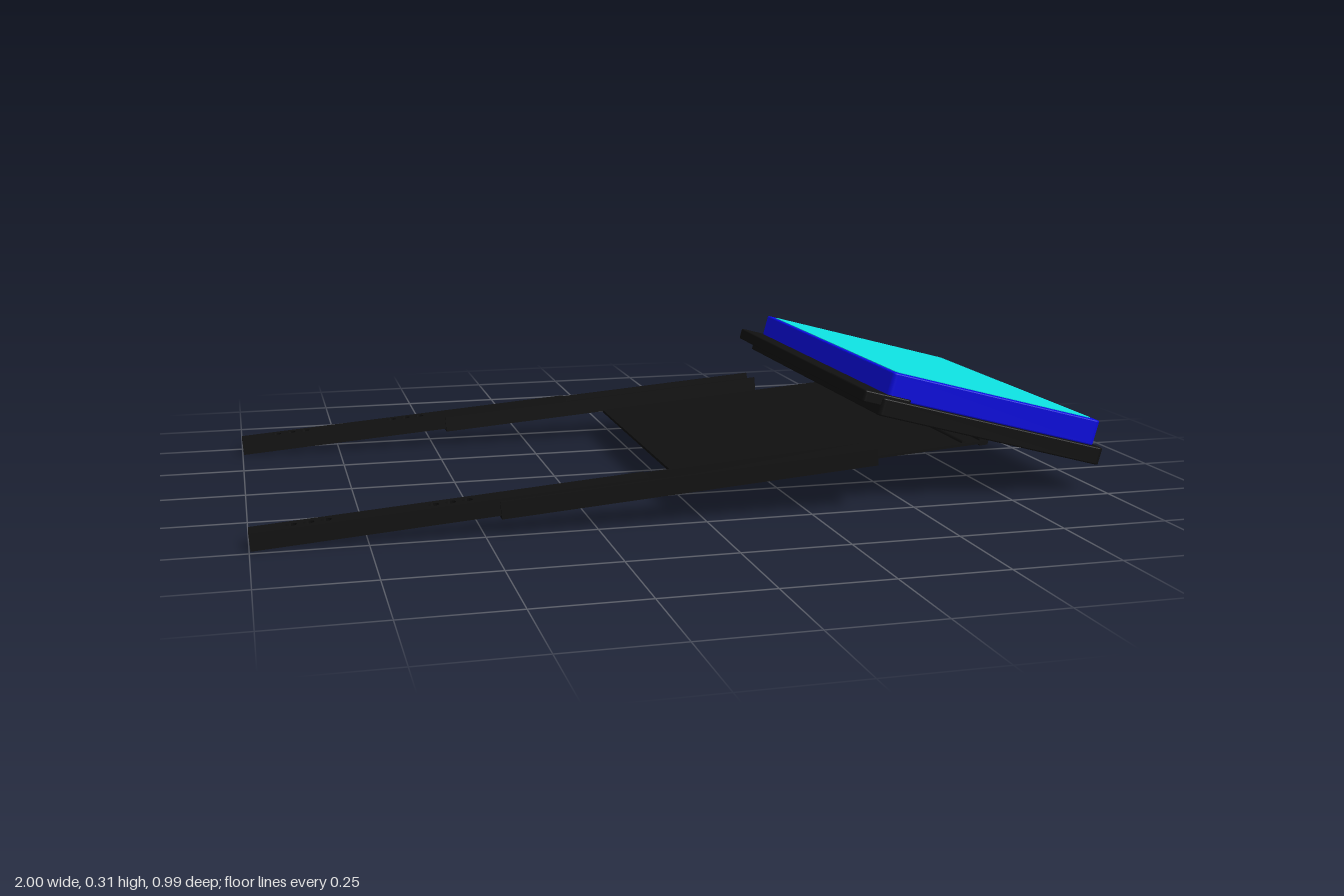
import * as THREE from 'three';

const mat = (color) => new THREE.MeshStandardMaterial({ color });
const black = mat(0x101010), blue = mat(0x0a0ae0), cyan = mat(0x0de0e0);

function add(parent, name, geometry, material = black) {
  const mesh = new THREE.Mesh(geometry, material);
  mesh.name = name;
  parent.add(mesh);
  return mesh;
}

// Box given by its limits on each axis
function box(x0, x1, y0, y1, z0, z1) {
  return new THREE.BoxGeometry(x1 - x0, y1 - y0, z1 - z0)
    .translate((x0 + x1) / 2, (y0 + y1) / 2, (z0 + z1) / 2);
}

// Rectangle with rounded corners, drawn on the x-z plane
function roundedRect(x0, x1, w, r, Type = THREE.Shape) {
  const s = new Type();
  s.moveTo(x0 + r, -w);
  s.lineTo(x1 - r, -w);
  s.absarc(x1 - r, -w + r, r, -Math.PI / 2, 0);
  s.lineTo(x1, w - r);
  s.absarc(x1 - r, w - r, r, 0, Math.PI / 2);
  s.lineTo(x0 + r, w);
  s.absarc(x0 + r, w - r, r, Math.PI / 2, Math.PI);
  s.lineTo(x0, -w + r);
  s.absarc(x0 + r, -w + r, r, Math.PI, Math.PI * 1.5);
  return s;
}

// Flat slab of a shape, between heights y0 and y1
function slab(shape, y0, y1, bevel = 0) {
  return new THREE.ExtrudeGeometry(shape, {
    depth: y1 - y0 - 2 * bevel, curveSegments: 8, bevelEnabled: bevel > 0,
    bevelSize: bevel, bevelThickness: bevel, bevelOffset: -bevel, bevelSegments: 2,
  }).rotateX(-Math.PI / 2).translate(0, y0 + bevel, 0);
}

// Strip of sheet metal with round holes along its middle
function drilledStrip(x0, x1, w, y0, y1, holes, r) {
  const shape = roundedRect(x0, x1, w, 0.002);
  for (const x of holes) shape.holes.push(new THREE.Path().absarc(x, 0, r, 0, Math.PI * 2, true));
  return slab(shape, y0, y1);
}

// Telescopic rail: inner channel opens down, outer channel opens up
function rail(side) {
  const g = new THREE.Group();
  g.name = side > 0 ? 'leftRail' : 'rightRail';
  const inner = new THREE.Group(), outer = new THREE.Group();
  inner.name = 'innerRail';
  outer.name = 'outerRail';
  add(inner, 'innerWeb', drilledStrip(0, 0.873, 0.028, 0.03, 0.039,
    [0.09, 0.127, 0.164, 0.395, 0.432, 0.469], 0.012));
  add(outer, 'outerBase', drilledStrip(0.535, 1.412, 0.038, -0.006, 0, [1.018, 1.203, 1.264], 0.006));
  for (const s of [-1, 1]) {
    add(inner, 'innerFlange', box(0, 0.873, 0, 0.032, -0.003, 0.003)).position.z = s * 0.025;
    add(outer, 'outerFlange', box(0.535, 1.412, -0.003, 0.034, -0.003, 0.003)).position.z = s * 0.036;
  }
  g.add(inner, outer);
  g.position.z = side * 0.457;
  return g;
}

export function createModel() {
  const model = new THREE.Group();
  model.name = 'slidingPanel';

  // Sloping carriage: two rails joined by a thin tray
  const carriage = new THREE.Group();
  carriage.name = 'carriage';
  carriage.position.set(-0.997, 0, 0);
  carriage.rotation.z = Math.atan(0.078);
  carriage.add(rail(1), rail(-1));
  add(carriage, 'tray', box(0.97, 1.72, -0.01, -0.003, -0.424, 0.424));
  add(carriage, 'trayLip', box(1.7, 1.72, -0.015, 0.002, -0.42, 0.42));
  add(carriage, 'hingeRod', new THREE.CylinderGeometry(0.006, 0.006, 0.84, 12)
    .rotateX(Math.PI / 2).translate(1.66, -0.003, 0));
  model.add(carriage);

  // Tilted panel
  const panel = new THREE.Group();
  panel.name = 'panel';
  panel.position.set(0.415, 0.217, 0);
  panel.rotation.z = -THREE.MathUtils.degToRad(15);

  // Base: raised rim around a recessed back plate with two slots
  const rim = roundedRect(0, 0.592, 0.476, 0.012);
  rim.holes.push(roundedRect(0.02, 0.572, 0.458, 0.008, THREE.Path));
  add(panel, 'baseRim', slab(rim, 0, 0.042, 0.003));
  const back = roundedRect(0.015, 0.577, 0.462, 0.008);
  for (const s of [-1, 1]) {
    const slot = new THREE.Path();
    const a = s * 0.425 - 0.02, b = s * 0.425 + 0.02;
    slot.setFromPoints([[0.18, a], [0.32, a], [0.32, b], [0.18, b]].map(([x, y]) => new THREE.Vector2(x, y)));
    back.holes.push(slot);
  }
  add(panel, 'backPlate', slab(back, 0.026, 0.042));

  // Hinge strip along the inner edge
  add(panel, 'hingeStrip', slab(roundedRect(-0.045, 0.075, 0.47, 0.008), 0.022, 0.05, 0.003));

  // Frame and display surface
  add(panel, 'frame', slab(roundedRect(0.016, 0.572, 0.461, 0.012), 0.042, 0.103, 0.003), blue);
  add(panel, 'screen', slab(roundedRect(0.031, 0.56, 0.437, 0.012), 0.1, 0.1045), cyan);
  model.add(panel);

  return model;
}
